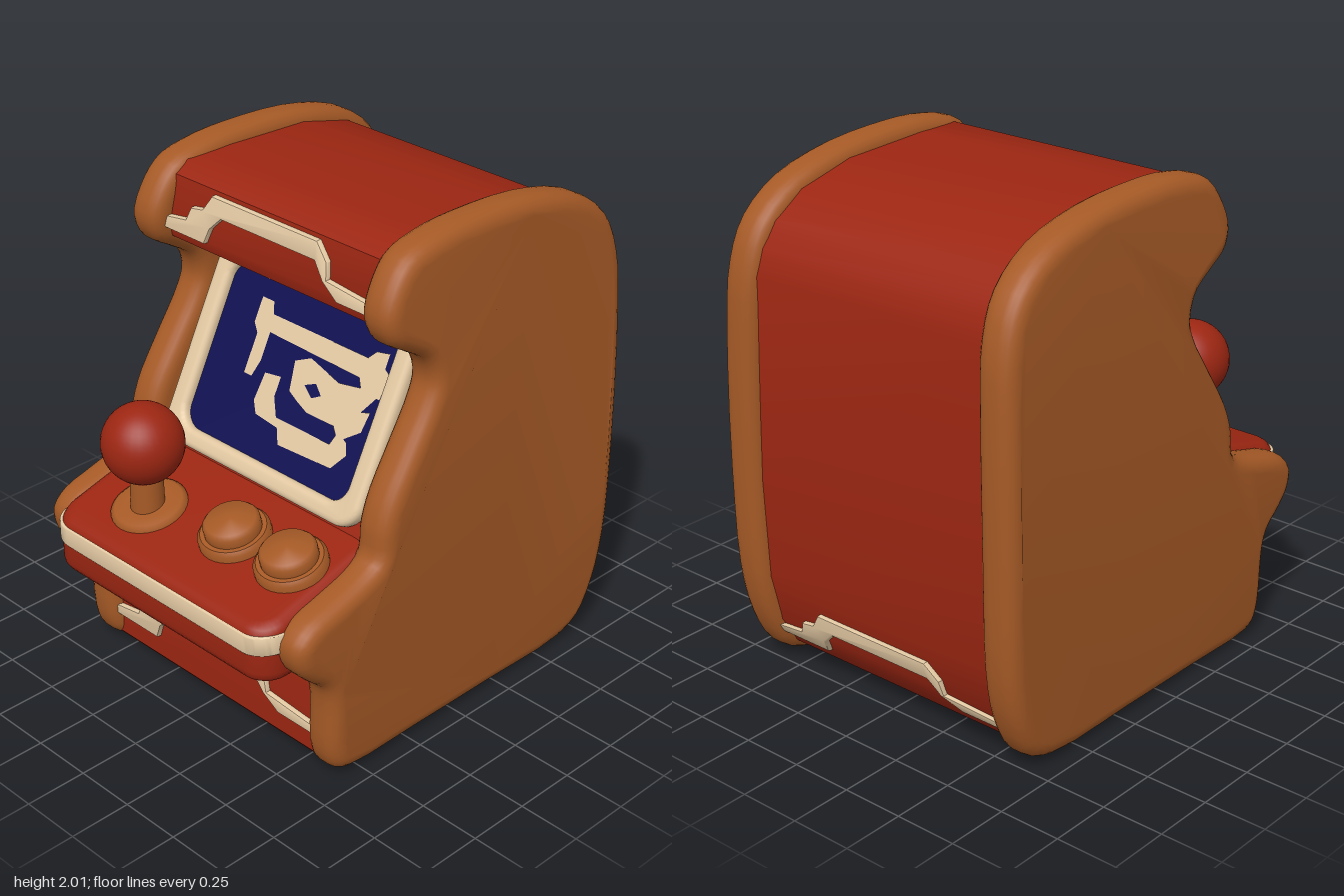
import * as THREE from 'three';
import { toCreasedNormals } from 'three/addons/utils/BufferGeometryUtils.js';

const mat = (name, color, side = THREE.FrontSide) => {
  const m = new THREE.MeshStandardMaterial({ color, side });
  m.name = name;
  return m;
};
const wood = mat('wood brown', 0xa65a26);
const red = mat('cabinet red', 0x9c2612);
const cream = mat('trim cream', 0xe2c8a2);
const navy = mat('screen navy', 0x0f0f52);

const pts = a => a.map(p => new THREE.Vector2(p[0], p[1]));

function add(parent, name, geo, material, x = 0, y = 0, z = 0) {
  const m = new THREE.Mesh(geo, material);
  m.name = name;
  m.position.set(x, y, z);
  parent.add(m);
  return m;
}

// Move every vertex by a rule
function warp(geo, rule) {
  const p = geo.attributes.position, v = new THREE.Vector3();
  for (let i = 0; i < p.count; i++) {
    v.fromBufferAttribute(p, i);
    rule(v);
    p.setXYZ(i, v.x, v.y, v.z);
  }
  return geo;
}

// Extrusion whose total depth includes the rounded edges
function slab(shape, depth, bevel, segments = 4) {
  return new THREE.ExtrudeGeometry(shape, {
    depth: depth - 2 * bevel, curveSegments: 8, bevelEnabled: bevel > 0,
    bevelSize: bevel, bevelThickness: bevel, bevelOffset: -bevel, bevelSegments: segments,
  }).translate(0, 0, bevel);
}

function roundRect(x0, y0, x1, y1, r, Type = THREE.Shape) {
  const s = new Type();
  s.absarc(x1 - r, y1 - r, r, 0, Math.PI / 2);
  s.absarc(x0 + r, y1 - r, r, Math.PI / 2, Math.PI);
  s.absarc(x0 + r, y0 + r, r, Math.PI, Math.PI * 1.5);
  s.absarc(x1 - r, y0 + r, r, Math.PI * 1.5, Math.PI * 2);
  s.closePath();
  return s;
}

// Profiles are drawn as (z, y) and turned so that they extrude along x
const alongX = geo => geo.rotateY(-Math.PI / 2);

const sideProfile = [
  [0.55, 0.005], [0.2, 0], [-0.2, 0], [-0.62, 0.005], [-0.75, 0.06], [-0.83, 0.2], [-0.875, 0.4], [-0.89, 0.8],
  [-0.885, 1.4], [-0.865, 1.63], [-0.8, 1.79], [-0.65, 1.91], [-0.4, 1.98], [-0.1, 2],
  [0.1, 1.99], [0.25, 1.95], [0.33, 1.86], [0.37, 1.75], [0.34, 1.66], [0.25, 1.6],
  [0.165, 1.54], [0.137, 1.45], [0.165, 1.37], [0.26, 1.22], [0.36, 1.06], [0.4, 0.95],
  [0.415, 0.84], [0.48, 0.8], [0.61, 0.76], [0.75, 0.715], [0.81, 0.65], [0.8, 0.56],
  [0.74, 0.485], [0.67, 0.42], [0.65, 0.34], [0.645, 0.13], [0.615, 0.04],
];

const bodyProfile = [
  [0.58, 0.015], [-0.6, 0.015], [-0.72, 0.08], [-0.79, 0.2], [-0.835, 0.4], [-0.85, 0.8],
  [-0.84, 1.6], [-0.81, 1.7], [-0.75, 1.79], [-0.62, 1.88], [-0.38, 1.94], [0, 1.955],
  [0.2, 1.95], [0.26, 1.91], [0.3, 1.72], [0.285, 1.67], [0.1, 1.61], [-0.03, 1.6],
  [0.36, 0.83], [0.5, 0.78], [0.5, 0.46], [0.58, 0.4], [0.6, 0.3], [0.6, 0.04],
];

// Stepped trim band, drawn from its own base line
const trimOutline = [
  [-0.56, 0.04], [-0.42, 0.06], [-0.4, 0.11], [-0.34, 0.12], [-0.3, 0.18], [0.24, 0.18],
  [0.3, 0.12], [0.31, 0.06], [0.43, 0.05], [0.56, 0.04], [0.56, 0], [0.37, 0], [0.29, 0.05],
  [0.24, 0.11], [-0.24, 0.11], [-0.29, 0.06], [-0.31, 0], [-0.56, 0],
];

function trim(parent, name, base, depthAt) {
  const geo = slab(new THREE.Shape(pts(trimOutline)), 0.04, 0.008, 2);
  warp(geo, v => { v.y += base; v.z += depthAt(v.y) - 0.018; });
  return add(parent, name, toCreasedNormals(geo, 0.6), cream);
}

function addPanels(g) {
  const curve = new THREE.CatmullRomCurve3(
    sideProfile.map(p => new THREE.Vector3(p[0], p[1], 0)), true);
  const outline = curve.getPoints(110).slice(0, -1).map(p => new THREE.Vector2(p.x, p.y));
  for (const s of [1, -1]) {
    const geo = alongX(slab(new THREE.Shape(outline), 0.16, 0.06, 5));
    // Centre the panel, then lean it in towards the top and foot
    geo.translate(0.08 + s * 0.622, 0, 0);
    warp(geo, v => { v.x -= s * 0.03 * ((v.y - 0.75) / 1.1) ** 2; });
    add(g, s > 0 ? 'leftSidePanel' : 'rightSidePanel', toCreasedNormals(geo, 0.7), wood);
  }
}

function addScreen(g) {
  const tilt = Math.atan(0.506), k = 1 / Math.cos(tilt);
  const screen = new THREE.Group();
  screen.name = 'screen';
  screen.position.set(0, 1.22, 0.163);
  screen.rotation.x = -tilt;
  g.add(screen);

  // Padded bezel around the glass
  const bezel = roundRect(-0.52, -0.41, 0.52, 0.41, 0.1);
  bezel.holes.push(roundRect(-0.435, -0.335, 0.435, 0.335, 0.08, THREE.Path));
  add(screen, 'screenBezel', toCreasedNormals(slab(bezel, 0.07, 0.025), 0.7), cream, 0, 0, -0.015);
  add(screen, 'screenGlass', new THREE.ShapeGeometry(roundRect(-0.46, -0.36, 0.46, 0.36, 0.08)), navy, 0, 0, 0.018);

  // Maze pattern on the glass
  const maze = [
    [[-0.26, 1.43], [-0.2, 1.43], [-0.18, 1.39], [0.31, 1.39], [0.34, 1.42], [0.4, 1.43], [0.4, 1.38],
      [0.43, 1.365], [0.42, 1.28], [0.33, 1.28], [0.3, 1.32], [-0.17, 1.33], [-0.17, 1.23],
      [-0.19, 1.17], [-0.23, 1.17], [-0.23, 1.31], [-0.26, 1.34]],
    [[-0.13, 1.2], [-0.05, 1.21], [-0.05, 1.14], [-0.01, 1.08], [0.27, 1.08], [0.29, 1.13], [0.34, 1.11],
      [0.36, 1.07], [0.31, 1.01], [0.04, 1], [0.01, 1.05], [-0.11, 1.06], [-0.14, 1.1]],
    [[-0.01, 1.28], [0.06, 1.31], [0.22, 1.275], [0.32, 1.29], [0.42, 1.3], [0.36, 1.22], [0.4, 1.23],
      [0.39, 1.16], [0.3, 1.1], [0.26, 1.14], [0.12, 1.14], [0.06, 1.16], [0.01, 1.18]],
    [[-0.29, 1.52], [-0.24, 1.52], [-0.26, 1.49]],
  ];
  const flat = a => pts(a.map(([x, y]) => [x, (y - 1.22) * k]));
  maze.forEach((a, i) => {
    const s = new THREE.Shape(flat(a));
    if (i === 2) s.holes.push(new THREE.Path(flat([[0.07, 1.22], [0.12, 1.24], [0.16, 1.21], [0.12, 1.19]])));
    add(screen, 'screenPattern' + (i + 1), new THREE.ShapeGeometry(s), cream, 0, 0, 0.022);
  });
}

function addConsole(g) {
  // Plan shape is (x, -z), raised along y, with a sloping top
  const shelf = (grow, bottom, height, bevel) =>
    slab(roundRect(-0.59 - grow, -0.885 - grow, 0.59 + grow, -0.3, 0.11), height, bevel)
      .rotateX(-Math.PI / 2).translate(0, bottom, 0);
  const deck = warp(shelf(0, 0.47, 0.24, 0.05), v => {
    if (v.y > 0.6) v.y += Math.max(0, 0.84 - v.z) * 0.27;
  });
  add(g, 'controlDeck', toCreasedNormals(deck, 0.7), red);
  const band = warp(shelf(0.006, 0.575, 0.08, 0.008), v => { v.y += 0.08 * v.x * v.x; });
  add(g, 'controlDeckStripe', toCreasedNormals(band, 0.7), cream);

  const deckY = z => 0.82 - (z - 0.4) * 0.27;
  const turned = profile => new THREE.LatheGeometry(pts(profile), 32);

  // Joystick
  const stick = new THREE.Group();
  stick.name = 'joystick';
  g.add(stick);
  const base = add(stick, 'joystickBase',
    turned([[0.15, -0.02], [0.148, 0.015], [0.13, 0.028], [0.09, 0.03], [0, 0.03]]), wood, -0.28, deckY(0.65), 0.65);
  base.rotation.x = 0.27;
  add(stick, 'joystickShaft', new THREE.CylinderGeometry(0.062, 0.066, 0.2, 24), wood, -0.28, 0.845, 0.66);
  add(stick, 'joystickBall', new THREE.SphereGeometry(0.157, 32, 24), red, -0.28, 1.04, 0.67);

  // Two-tier push buttons
  const button = [[0.138, -0.02], [0.138, 0.035], [0.125, 0.05], [0.108, 0.05], [0.108, 0.085], [0.095, 0.1], [0, 0.106]];
  [[0.125, 0.585], [0.41, 0.575]].forEach(([x, z], i) => {
    const b = add(g, 'pushButton' + (i + 1), toCreasedNormals(turned(button), 0.8), wood, x, deckY(z), z);
    b.rotation.x = 0.27;
  });
}

export function createModel() {
  const g = new THREE.Group();
  g.name = 'arcadeCabinet';

  // Main body between the side panels
  const body = alongX(slab(new THREE.Shape(pts(bodyProfile)), 1.14, 0)).translate(0.57, 0, 0);
  add(g, 'cabinetBody', toCreasedNormals(body, 0.6), red);

  addPanels(g);
  addScreen(g);
  addConsole(g);

  // Stepped trim on the marquee, the front foot and the back foot
  trim(g, 'marqueeTrim', 1.715, y => 0.26 + (1.91 - y) * 0.21);
  trim(g, 'frontFootTrim', 0.135, () => 0.6);
  const back = trim(g, 'backFootTrim', 0.135, y => (y < 0.2 ? 0.72 + (y - 0.08) * 0.583 : 0.79 + (y - 0.2) * 0.225));
  back.rotation.y = Math.PI;
  return g;
}
